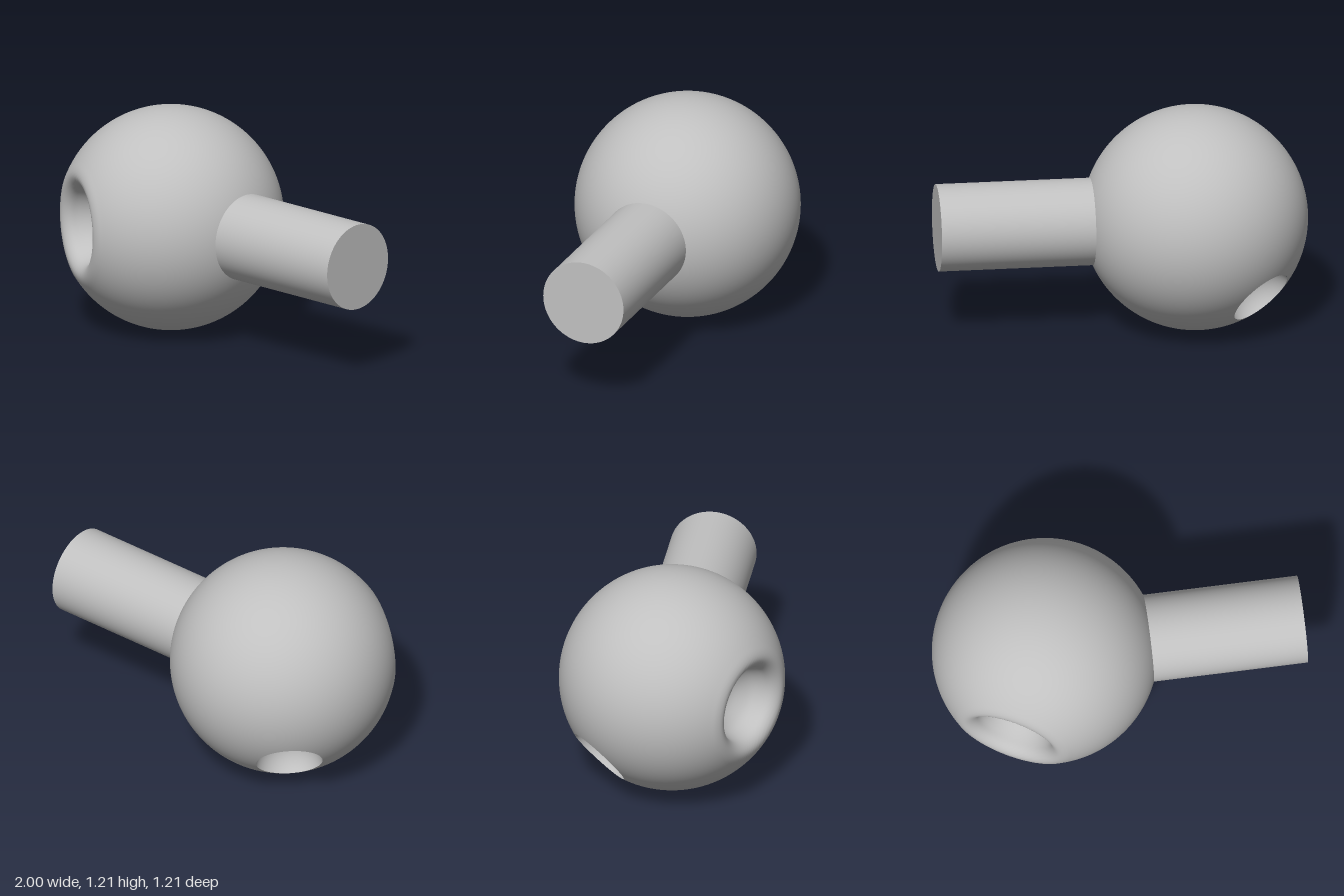
import * as THREE from 'three';
import { mergeVertices } from 'three/addons/utils/BufferGeometryUtils.js';

const R = 0.607;
const CENTRE = new THREE.Vector3(-0.393, R, 0);
const UP = new THREE.Vector3(0, 1, 0);
const DISH_AXIS = new THREE.Vector3(-0.457, 0, 0.89).normalize();
const HOLE_AXIS = new THREE.Vector3(-0.545, -0.593, -0.593).normalize();
const HOLE = { centre: 0.6, radius: 0.18 };
const DISH_ANGLE = THREE.MathUtils.degToRad(34);

// Cross-section of the round-lipped dish: (distance from axis, height along axis)
const dishProfile = new THREE.SplineCurve([
  [0, 0.315], [0.05, 0.321], [0.1075, 0.344], [0.169, 0.395], [0.2, 0.452],
  [0.215, 0.495], [0.24, 0.522], [0.272, 0.533], [0.31, 0.522],
  [R * Math.sin(DISH_ANGLE), R * Math.cos(DISH_ANGLE)],
].map(([r, h]) => new THREE.Vector2(r, h)));

// Height of the sharp hole's rim along its axis
const rimHeight = (R ** 2 + HOLE.centre ** 2 - HOLE.radius ** 2) / (2 * HOLE.centre);
const toHole = new THREE.Quaternion().setFromUnitVectors(UP, HOLE_AXIS);

// Sphere left open at the sharp hole, with the dish pressed into its front
function ballGeometry() {
  const open = Math.acos(rimHeight / R);
  let geo = new THREE.SphereGeometry(R, 224, 144, 0, Math.PI * 2, open, Math.PI - open);
  geo.applyQuaternion(toHole);
  const pos = geo.attributes.position;
  const p = new THREE.Vector3();
  const side = new THREE.Vector3();
  for (let i = 0; i < pos.count; i++) {
    p.fromBufferAttribute(pos, i);
    const angle = p.angleTo(DISH_AXIS);
    if (angle >= DISH_ANGLE) continue;
    side.copy(p).addScaledVector(DISH_AXIS, -p.dot(DISH_AXIS)).normalize();
    const q = dishProfile.getPointAt(angle / DISH_ANGLE);
    p.copy(DISH_AXIS).multiplyScalar(q.y).addScaledVector(side, q.x);
    pos.setXYZ(i, p.x, p.y, p.z);
  }
  geo.deleteAttribute('uv');
  geo.deleteAttribute('normal');
  geo = mergeVertices(geo, 1e-5);
  geo.computeVertexNormals();
  return geo;
}

// Spherical scoop, running from the rim down to the bottom so it faces outwards
function holeGeometry() {
  const start = Math.acos((rimHeight - HOLE.centre) / HOLE.radius);
  const points = [];
  for (let i = 0; i <= 20; i++) {
    const a = start + (Math.PI - start) * i / 20;
    points.push(new THREE.Vector2(
      Math.max(0, HOLE.radius * Math.sin(a)), HOLE.centre + HOLE.radius * Math.cos(a)));
  }
  return new THREE.LatheGeometry(points, 64).applyQuaternion(toHole);
}

export function createModel() {
  const group = new THREE.Group();
  const grey = new THREE.MeshStandardMaterial({ color: 0xc0c0c0 });
  grey.name = 'plain grey';

  const add = (name, geometry, position) => {
    const mesh = new THREE.Mesh(geometry, grey);
    mesh.name = name;
    mesh.position.copy(position);
    group.add(mesh);
  };

  add('ball', ballGeometry(), CENTRE);
  add('socketHole', holeGeometry(), CENTRE);

  // Round stem, buried a little in the ball
  const stem = new THREE.CylinderGeometry(0.235, 0.235, 0.88, 96).rotateZ(-Math.PI / 2);
  add('stem', stem, new THREE.Vector3(0.56, R, 0));

  return group;
}
